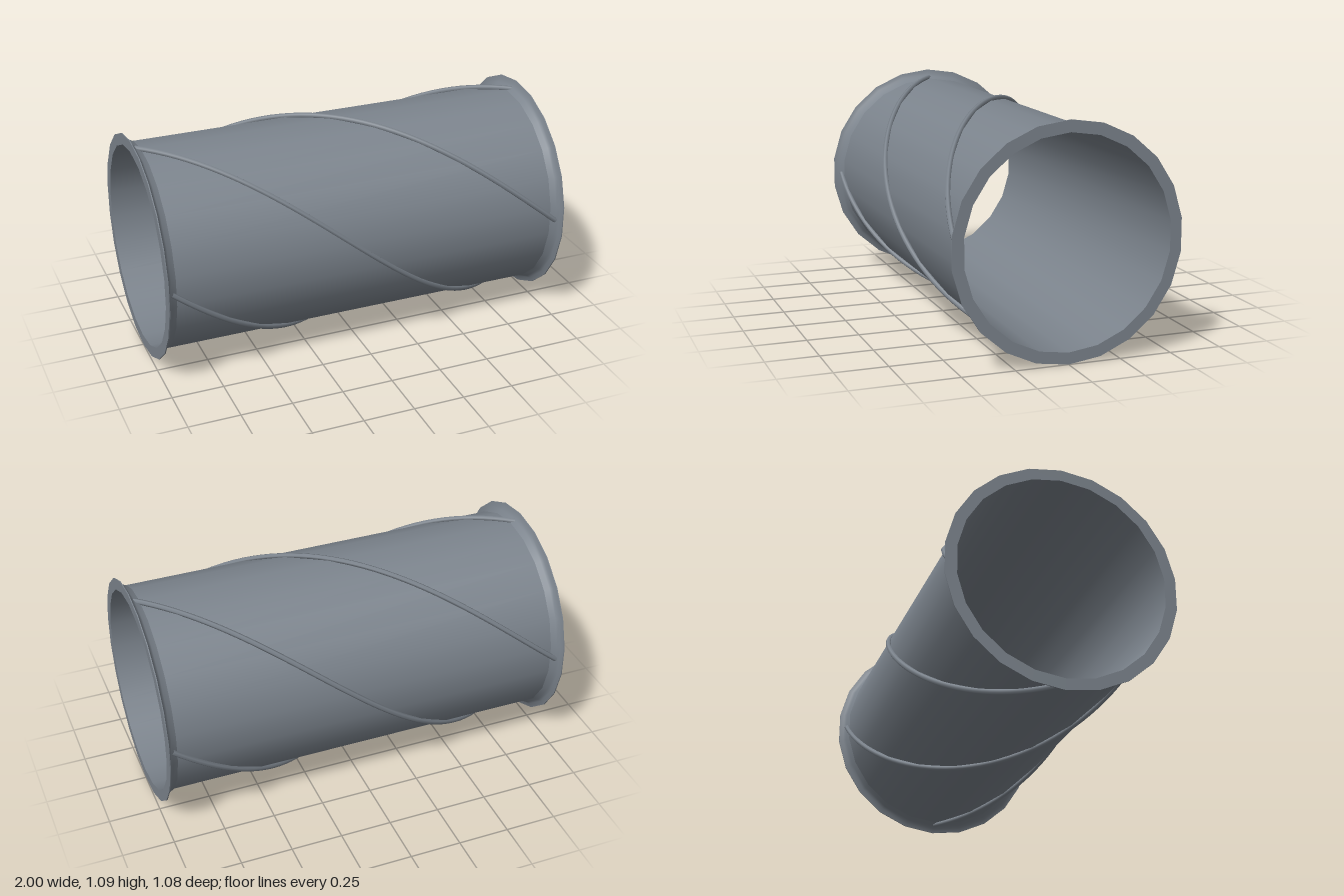
import * as THREE from 'three';
import { mergeGeometries } from 'three/addons/utils/BufferGeometryUtils.js';

const SIDES = 22, CENTER_Y = 0.545;
const R_IN = 0.49, R_BODY = 0.5, R_LIP = 0.545;
const steel = new THREE.MeshStandardMaterial({ color: 0x7c848d });

// Surface of revolution about the x axis; each profile is smooth, edges between profiles stay sharp
function revolve(name, ...profiles) {
  const strips = profiles.map(profile => new THREE.LatheGeometry(
    profile.map(([x, r]) => new THREE.Vector2(r, x)), SIDES, Math.PI / 2));
  const mesh = new THREE.Mesh(mergeGeometries(strips).rotateZ(-Math.PI / 2), steel);
  mesh.name = name;
  return mesh;
}

// Path that winds half a turn along the pipe
class Helix extends THREE.Curve {
  constructor(start, radius, half) {
    super();
    Object.assign(this, { start, radius, half });
  }
  getPoint(t, target = new THREE.Vector3()) {
    const s = 2 * t - 1;
    const a = this.start - s * Math.PI / 2;
    return target.set(s * this.half, this.radius * Math.sin(a), this.radius * Math.cos(a));
  }
}

export function createModel() {
  const model = new THREE.Group();
  model.name = 'pipeSection';
  const pipe = new THREE.Group();
  pipe.name = 'pipe';
  pipe.position.y = CENTER_Y;
  model.add(pipe);

  // Thin pipe wall
  pipe.add(revolve('outerWall', [[-0.95, R_BODY], [0.95, R_BODY]]));
  pipe.add(revolve('innerWall', [[1, R_IN], [-1, R_IN]]));

  // Flared flange with a flat ring face at each end
  for (const side of [1, -1]) {
    const flange = revolve(side > 0 ? 'leftFlange' : 'rightFlange',
      [[0.95, R_BODY], [0.975, 0.512], [0.988, 0.524], [0.995, R_LIP]],
      [[0.995, R_LIP], [1, R_LIP]],
      [[1, R_LIP], [1, R_IN]]);
    if (side < 0) flange.rotation.y = Math.PI;
    pipe.add(flange);
  }

  // Four slim spiral ribs a quarter turn apart
  for (let i = 0; i < 4; i++) {
    const path = new Helix(i * Math.PI / 2, 0.505, 0.975);
    const rib = new THREE.Mesh(new THREE.TubeGeometry(path, 48, 0.013, 6), steel);
    rib.name = 'spiralRib' + (i + 1);
    pipe.add(rib);
  }
  return model;
}
